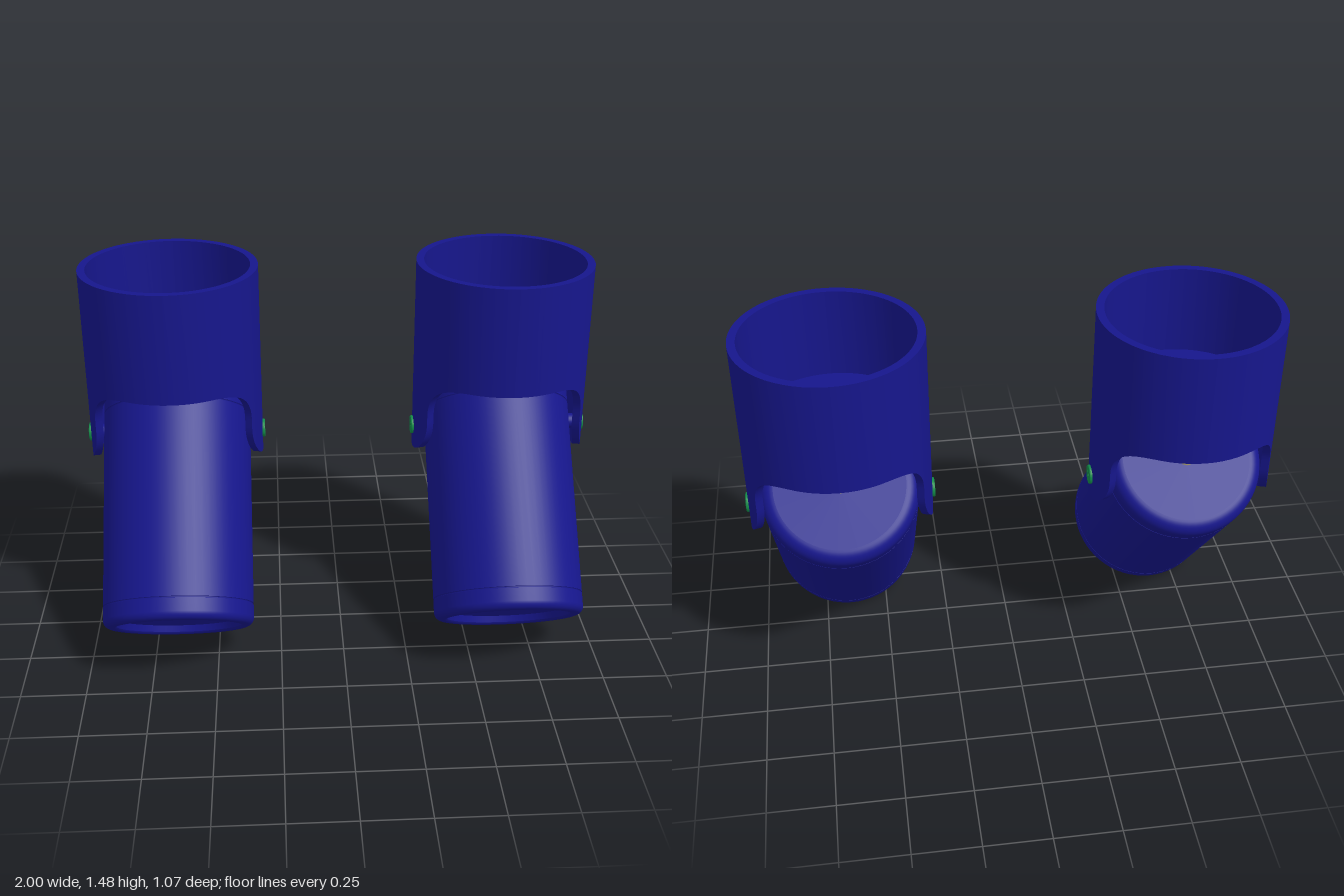
import * as THREE from 'three';

const mat = (color, opts = {}) => new THREE.MeshStandardMaterial({ color, ...opts });
const blue = mat(0x16168c);
const reflectorGreen = mat(0x62aa24, { flatShading: true });
const screwGreen = mat(0x128a48);
const beige = mat(0xd6c894);

const R = 0.343, INNER = 0.313, TOP = 1.485;   // mount tube
const PIVOT_Y = 0.795, LAMP_R = 0.2925, TILT = 40;

function add(parent, name, geometry, material) {
  const mesh = new THREE.Mesh(geometry, material);
  mesh.name = name;
  parent.add(mesh);
  return mesh;
}

function lathe(points, segments = 64) {
  return new THREE.LatheGeometry(points.map(([r, y]) => new THREE.Vector2(r, y)), segments);
}

// Points of an arc, angles in degrees
function arc(cx, cy, r, from, to, steps) {
  return Array.from({ length: steps + 1 }, (_, i) => {
    const a = THREE.MathUtils.degToRad(from + (to - from) * i / steps);
    return [cx + r * Math.cos(a), cy + r * Math.sin(a)];
  });
}

// Lower edge of the mount as [angle, y], swept around from the middle of an ear
function mountEdge() {
  const quarter = [
    ...arc(0, 0.865, 0.16, -90, 0, 12),
    ...arc(0.31, 0.905, 0.15, 180, 90, 12),
  ].map(([w, y]) => [Math.asin(w / R), y]);
  const last = quarter[quarter.length - 1][0];
  for (let i = 1; i <= 5; i++) quarter.push([last + (Math.PI / 2 - last) * i / 5, 1.055]);
  const back = [...quarter].reverse();
  return [
    ...quarter,
    ...back.map(([a, y]) => [Math.PI - a, y]),
    ...quarter.map(([a, y]) => [Math.PI + a, y]),
    ...back.map(([a, y]) => [2 * Math.PI - a, y]),
  ];
}

// Thick tube wall: four strips (outside, lower edge, inside, top rim)
function mountGeometry() {
  const edge = mountEdge();
  const positions = [], index = [];
  const corners = (y) => [[R, TOP], [R, y], [INNER, y], [INNER, TOP]];
  for (let s = 0; s < 4; s++) {
    const base = positions.length / 3;
    edge.forEach(([a, y], i) => {
      for (const k of [s, (s + 1) % 4]) {
        const [r, h] = corners(y)[k];
        positions.push(r * Math.cos(a), h, r * Math.sin(a));
      }
      if (i > 0) {
        const p = base + 2 * (i - 1);
        index.push(p, p + 2, p + 1, p + 2, p + 3, p + 1);
      }
    });
  }
  const g = new THREE.BufferGeometry();
  g.setAttribute('position', new THREE.Float32BufferAttribute(positions, 3));
  g.setIndex(index);
  g.computeVertexNormals();
  return g;
}

// Round screw head with a cross-shaped recess
function screwGeometry() {
  const shape = new THREE.Shape().absarc(0, 0, 0.033, 0, Math.PI * 2);
  const a = 0.006, b = 0.024;
  const cross = [[a, a], [a, b], [-a, b], [-a, a], [-b, a], [-b, -a],
    [-a, -a], [-a, -b], [a, -b], [a, -a], [b, -a], [b, a]];
  shape.holes.push(new THREE.Path(cross.map(([x, y]) => new THREE.Vector2(x, y).rotateAround(new THREE.Vector2(), Math.PI / 4))));
  return new THREE.ExtrudeGeometry(shape, {
    depth: 0.012, bevelSize: 0.004, bevelThickness: 0.004, bevelSegments: 2, curveSegments: 24,
  });
}

function createMount() {
  const mount = new THREE.Group();
  mount.name = 'mount';
  add(mount, 'mountTube', mountGeometry(), blue);

  // Plate closing the tube, with the cable bead through it
  add(mount, 'ceilingPlate', new THREE.CylinderGeometry(INNER, INNER, 0.014, 64), blue).position.y = 1.13;
  add(mount, 'ceilingBead', new THREE.SphereGeometry(0.033, 24, 16), beige).position.set(0, 1.13, -0.185);

  // Pivot pins and screw heads on both ears
  for (const side of [1, -1]) {
    const pin = add(mount, 'pivotPin', new THREE.CylinderGeometry(0.03, 0.03, 0.05, 24), blue);
    pin.rotation.z = Math.PI / 2;
    pin.position.set(side * 0.3, PIVOT_Y, 0);
    const screw = add(mount, 'screw', screwGeometry(), screwGreen);
    screw.rotation.y = side * Math.PI / 2;
    screw.position.set(side * 0.3365, PIVOT_Y, 0);
  }
  return mount;
}

// Lamp head around its own y axis: origin at the pivot, light shining towards -y
function createLampHead() {
  const head = new THREE.Group();
  head.name = 'lampHead';
  const r = LAMP_R, g = 0.006;

  add(head, 'barrel', lathe([[r, -0.712], [r, 0.056]]), blue);
  // Narrow grooves at both seams
  add(head, 'frontGroove', lathe([[r, -0.718], [r - g, -0.715], [r, -0.712]]), blue);
  add(head, 'backGroove', lathe([[r, 0.056], [r - g, 0.059], [r, 0.062]]), blue);

  // Front ring with rounded lip, and the sloping bezel inside it
  add(head, 'frontRing', lathe([[0.242, -0.79], [0.25, -0.798],
    ...arc(r - 0.03, -0.768, 0.03, -90, 0, 8), [r, -0.718]]), blue);
  add(head, 'bezelStep', lathe([[0.232, -0.765], [0.242, -0.79]]), blue);
  add(head, 'bezel', lathe([[0.172, -0.744], [0.232, -0.765]]), blue);

  // Faceted bowl reflector and bulb
  const bowl = Array.from({ length: 17 }, (_, i) => {
    const t = i / 16 * Math.PI / 2;
    return [0.172 * Math.sin(t), -0.744 + 0.12 * Math.cos(t)];
  });
  add(head, 'reflector', lathe(bowl, 48), reflectorGreen);
  add(head, 'bulb', new THREE.SphereGeometry(0.023, 20, 14), screwGreen).position.y = -0.637;

  // Rounded back cap with cable bead
  add(head, 'backCap', lathe([[r, 0.062], ...arc(r - 0.05, 0.103, 0.05, 0, 90, 10)]), blue);
  add(head, 'backPlate', lathe([[r - 0.05, 0.153], [0, 0.153]]), blue);
  add(head, 'backBead', new THREE.SphereGeometry(0.033, 24, 16), beige).position.y = 0.153;

  head.position.y = PIVOT_Y;
  head.rotation.x = -THREE.MathUtils.degToRad(TILT);
  return head;
}

export function createModel() {
  const model = new THREE.Group();
  model.name = 'spotlightPair';
  for (const side of [1, -1]) {
    const spot = new THREE.Group();
    spot.name = side > 0 ? 'leftSpotlight' : 'rightSpotlight';
    spot.add(createMount(), createLampHead());
    spot.position.set(side * 0.6475, 0, -0.19);
    model.add(spot);
  }
  return model;
}
